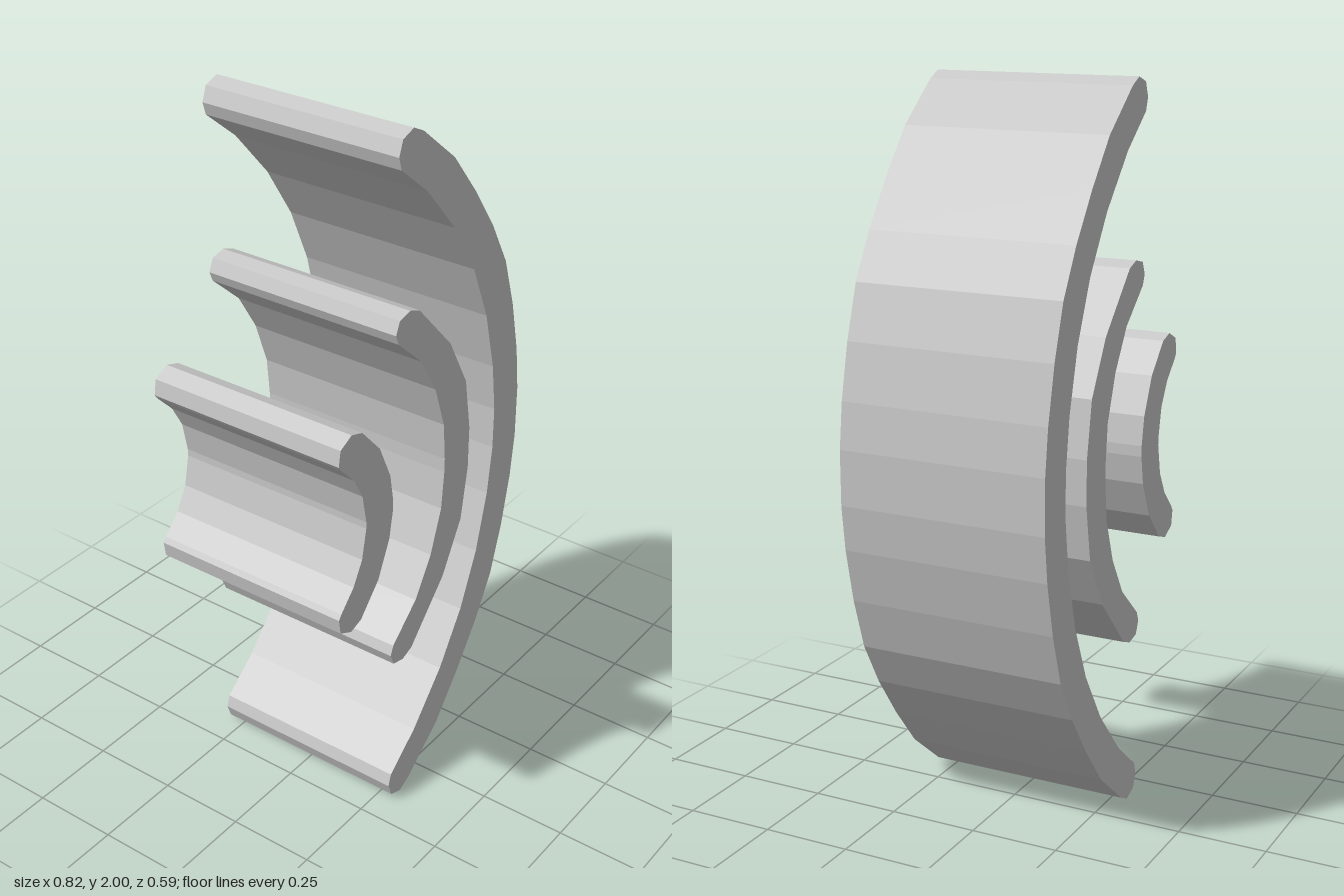
import * as THREE from 'three';

const DEPTH = 0.586;
const MID = 1; // height of the mirror line

// Upper half outlines as [x, height above the mirror line]:
// along the outer edge, around the rounded tip, back along the inner edge.
const arcs = {
  largeArc: [
    [0.41, 0.075], [0.395, 0.2], [0.362, 0.35], [0.315, 0.495], [0.245, 0.62], [0.157, 0.745], [0.057, 0.868],
    [-0.08, 0.98], [-0.12, 1], [-0.163, 0.985], [-0.178, 0.945], [-0.167, 0.91],
    [-0.057, 0.82], [0.067, 0.68], [0.163, 0.53], [0.232, 0.37], [0.276, 0.2], [0.294, 0.06],
  ],
  middleArc: [
    [0.171, 0.062], [0.145, 0.215], [0.065, 0.36],
    [-0.08, 0.515], [-0.12, 0.53], [-0.163, 0.52], [-0.178, 0.485], [-0.167, 0.457],
    [-0.065, 0.365], [0.002, 0.255], [0.046, 0.13], [0.056, 0.02],
  ],
  smallArc: [
    [-0.179, 0.015], [-0.193, 0.095], [-0.24, 0.198],
    [-0.315, 0.28], [-0.358, 0.294], [-0.403, 0.272], [-0.41, 0.228], [-0.4, 0.214],
    [-0.348, 0.16], [-0.312, 0.095], [-0.295, 0.01],
  ],
};

export function createModel() {
  const group = new THREE.Group();
  group.name = 'nestedArcs';
  const grey = new THREE.MeshStandardMaterial({ color: 0xc8c8c8, flatShading: true });
  grey.name = 'lightGrey';

  for (const [name, half] of Object.entries(arcs)) {
    // Upper half, then its mirror image in reverse order
    const upper = half.map(([x, y]) => new THREE.Vector2(x, MID + y));
    const lower = half.map(([x, y]) => new THREE.Vector2(x, MID - y)).reverse();
    const geometry = new THREE.ExtrudeGeometry(new THREE.Shape([...upper, ...lower]), {
      depth: DEPTH, bevelEnabled: false,
    });
    geometry.translate(0, 0, -DEPTH / 2);
    const mesh = new THREE.Mesh(geometry, grey);
    mesh.name = name;
    group.add(mesh);
  }
  return group;
}
